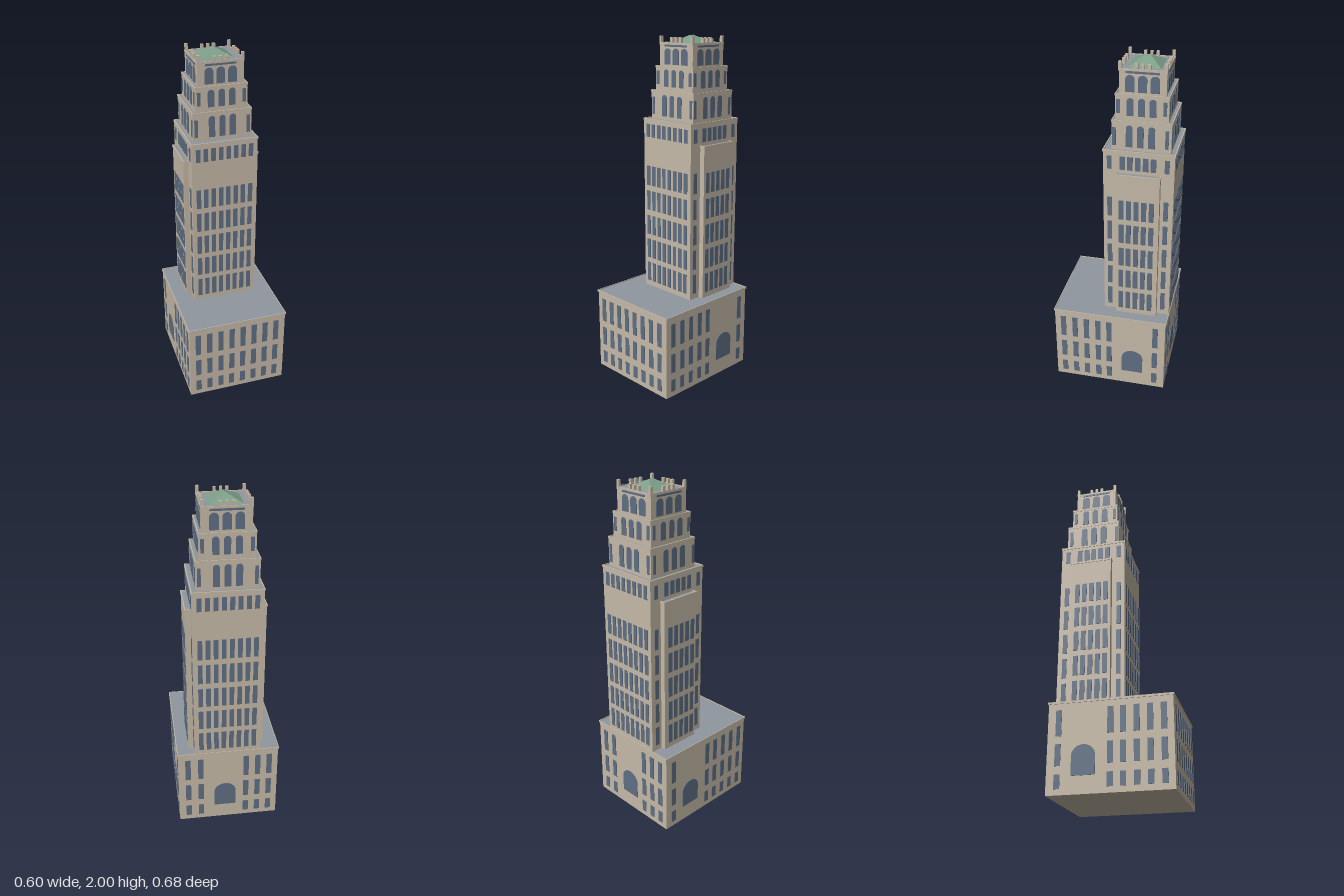
import * as THREE from 'three';
import { mergeGeometries } from 'three/addons/utils/BufferGeometryUtils.js';

const mat = (name, color) => Object.assign(new THREE.MeshStandardMaterial({ color }), { name });

export function createModel() {
  const stone = mat('stone', 0xc6baa8);
  const glass = mat('window glass', 0x5f6f84);
  const slate = mat('flat roof', 0x8f979f);
  const copper = mat('green copper', 0x7b9d87);
  const model = new THREE.Group();
  model.name = 'tower';

  const add = (parent, name, geometry, material) => {
    const mesh = new THREE.Mesh(geometry, material);
    mesh.name = name;
    parent.add(mesh);
    return mesh;
  };
  const box = (x0, x1, y0, y1, z0, z1) =>
    new THREE.BoxGeometry(x1 - x0, y1 - y0, z1 - z0)
      .translate((x0 + x1) / 2, (y0 + y1) / 2, (z0 + z1) / 2);

  // Stone block with a sunken flat roof and a slightly projecting rim
  function tier(name, [x0, x1, z0, z1], y0, y1, rimWidth = 0.006, out = 0.003) {
    const g = new THREE.Group();
    g.name = name;
    model.add(g);
    const top = y1 - 0.008;
    add(g, name + 'Wall', box(x0 + out, x1 - out, y0, top, z0 + out, z1 - out), stone);
    const t = rimWidth;
    add(g, name + 'Roof', box(x0 + t, x1 - t, top - 0.002, top + 0.003, z0 + t, z1 - t), slate);
    add(g, name + 'Rim', mergeGeometries([
      box(x0, x1, top - 0.004, y1, z0, z0 + t), box(x0, x1, top - 0.004, y1, z1 - t, z1),
      box(x0, x0 + t, top - 0.004, y1, z0 + t, z1 - t), box(x1 - t, x1, top - 0.004, y1, z0 + t, z1 - t),
    ]), stone);
    // Wall planes for placing windows
    g.userData = { front: z1 - out, back: z0 + out, right: x1 - out, left: x0 + out };
    return g;
  }

  // Thin window plate on one wall; u is x on front/back and z on the sides
  const turn = { front: 0, back: Math.PI, right: Math.PI / 2, left: -Math.PI / 2 };
  function pane(g, side, u, y0, y1, w, arched) {
    const s = new THREE.Shape();
    const h = w / 2, spring = arched ? y1 - w * 0.45 : y1;
    s.moveTo(-h, y0);
    s.lineTo(h, y0);
    s.lineTo(h, spring);
    if (arched) s.absellipse(0, spring, h, w * 0.45, 0, Math.PI, false);
    else s.lineTo(-h, spring);
    s.closePath();
    const geo = new THREE.ExtrudeGeometry(s, { depth: 0.003, bevelEnabled: false, curveSegments: 8 });
    const plane = g.userData[side];
    geo.rotateY(turn[side]);
    return side === 'front' || side === 'back' ? geo.translate(u, 0, plane) : geo.translate(plane, 0, u);
  }
  // Grid of panes from column positions and row heights
  const grid = (g, side, cols, rows, w, arched) =>
    cols.flatMap(u => rows.map(([a, b]) => pane(g, side, u, a, b, w, arched)));
  const glaze = (g, panes) => add(g, g.name + 'Windows', mergeGeometries(panes), glass);
  const spread = (n, a, b) => Array.from({ length: n }, (_, i) => a + (b - a) * i / (n - 1));

  // Podium
  const base = tier('podium', [-0.302, 0.302, -0.342, 0.342], 0, 0.497, 0.004, 0.005);
  const baseRows = [[0.032, 0.106], [0.15, 0.265], [0.307, 0.45]];
  const sideCols = [0.286, 0.214, 0.143, 0.071, 0.003, -0.278];
  glaze(base, [
    ...grid(base, 'front', spread(8, -0.246, 0.241), baseRows, 0.032),
    ...grid(base, 'back', [0.241, 0.165, -0.107, -0.177, -0.246], baseRows, 0.032),
    pane(base, 'back', 0.02, 0.095, 0.256, 0.128, true),
    ...['left', 'right'].flatMap(s => [
      ...grid(base, s, sideCols, baseRows, 0.032),
      pane(base, s, -0.14, 0.095, 0.256, 0.128, true),
    ]),
  ]);

  // Main shaft
  const shaft = tier('shaft', [-0.188, 0.201, -0.342, 0.054], 0.48, 1.53);
  const shaftRows = [0.525, 0.675, 0.825, 0.978, 1.13].map(y => [y, y + 0.118]);
  const crownRow = [[1.42, 1.497]];
  const shaftCols = spread(8, -0.148, 0.159);
  const wingCols = spread(5, -0.055, -0.225);
  const edgeCols = [0.016, -0.299];
  glaze(shaft, [
    ...['front', 'back'].flatMap(s => grid(shaft, s, shaftCols, [...shaftRows, ...crownRow], 0.026)),
    ...['left', 'right'].flatMap(s => [
      ...grid(shaft, s, edgeCols, [...shaftRows, ...crownRow], 0.026),
      ...grid(shaft, s, wingCols, crownRow, 0.03),
    ]),
  ]);

  // Shallow wings on both sides of the shaft
  const wings = tier('sideWings', [-0.217, 0.232, -0.27, -0.022], 0.48, 1.403);
  glaze(wings, ['left', 'right'].flatMap(s => grid(wings, s, wingCols, shaftRows, 0.028)));

  // Stepped upper tiers: three arches with a narrow window at each end
  const cx = 0.005, cz = -0.147;
  const steps = [
    { name: 'lowerSetback', r: [-0.166, 0.175, -0.315, 0.01], y: [1.515, 1.692], arch: [1.545, 1.667], slit: [1.55, 1.652], gap: 0.06, w: 0.036, end: [0.15, 0.142] },
    { name: 'upperSetback', r: [-0.146, 0.155, -0.294, -0.005], y: [1.675, 1.83], arch: [1.713, 1.81], slit: [1.725, 1.8], gap: 0.06, w: 0.036, end: [0.129, 0.124] },
    { name: 'crown', r: [-0.128, 0.138, -0.275, -0.021], y: [1.815, 1.96], arch: [1.837, 1.927], gap: 0.066, w: 0.048 },
  ];
  for (const s of steps) {
    const g = tier(s.name, s.r, s.y[0], s.y[1], 0.005, 0.002);
    glaze(g, Object.keys(turn).flatMap(side => {
      const onX = side === 'front' || side === 'back';
      const c = onX ? cx : cz;
      const panes = grid(g, side, [c - s.gap, c, c + s.gap], [s.arch], s.w, true);
      if (s.slit) {
        const e = s.end[onX ? 0 : 1];
        panes.push(...grid(g, side, [c - e, c + e], [s.slit], 0.019));
      } else {
        panes.push(pane(g, side, c, 1.936, 1.947, 0.175)); // band above the arches
      }
      return panes;
    }));
  }

  // Crown pinnacles: one at each corner, three along each side
  const pins = [];
  const pin = (x, z, top) => pins.push(box(x - 0.008, x + 0.008, 1.945, top, z - 0.008, z + 0.008));
  for (const sx of [-1, 1]) {
    for (const sz of [-1, 1]) pin(cx + sx * 0.124, cz + sz * 0.119, 1.995);
    for (const d of [-0.034, 0, 0.034]) {
      pin(cx + sx * 0.124, cz + d, 1.985);
      pin(cx + d, cz + sx * 0.119, 1.985);
    }
  }
  add(model, 'pinnacles', mergeGeometries(pins), stone);

  // Hipped copper roof: a box whose top is squeezed to a short ridge
  const roof = new THREE.BoxGeometry(0.2, 0.05, 0.19).toNonIndexed();
  const p = roof.attributes.position;
  for (let i = 0; i < p.count; i++) {
    if (p.getY(i) > 0) p.setXYZ(i, p.getX(i) * 0.005, p.getY(i), p.getZ(i) * 0.15);
  }
  roof.computeVertexNormals();
  add(model, 'hippedRoof', roof, copper).position.set(cx, 1.975, cz - 0.002);

  return model;
}
